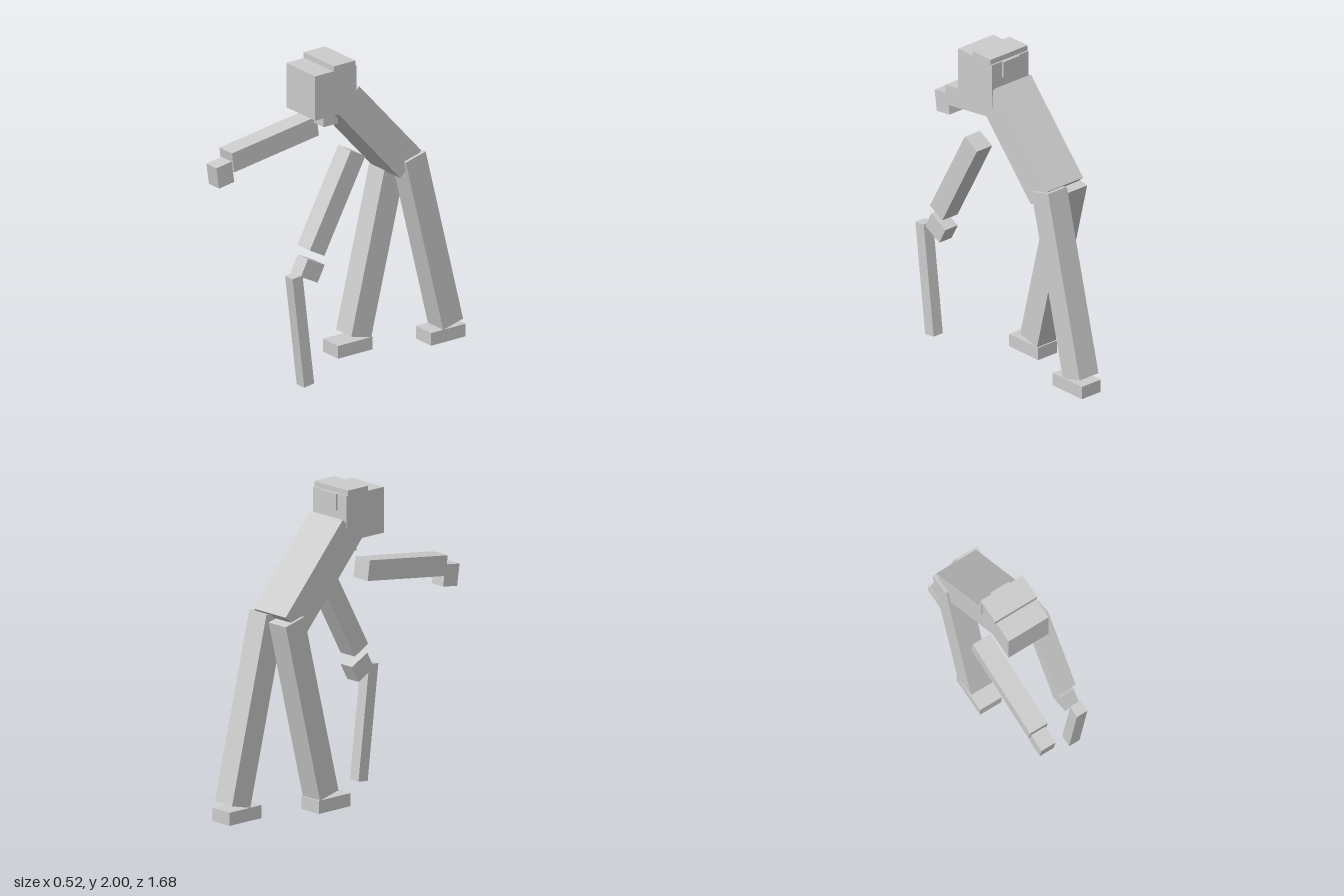
import * as THREE from 'three';

export function createModel() {
  const model = new THREE.Group();
  const grey = new THREE.MeshStandardMaterial({ color: 0xcccccc });
  grey.name = 'lightGrey';

  // Box from x0 to x1, centred at (y, z); up = [z, y] is the lean of its vertical axis
  function block(name, x0, x1, y, z, height, depth, up = [0, 1], parent = model) {
    const mesh = new THREE.Mesh(new THREE.BoxGeometry(x1 - x0, height, depth), grey);
    mesh.name = name;
    mesh.position.set((x0 + x1) / 2, y, z);
    mesh.rotation.x = Math.atan2(up[0], up[1]);
    parent.add(mesh);
    return mesh;
  }

  // Stooped torso and neck
  block('torso', -0.146, 0.14, 1.482, -0.195, 0.712, 0.216, [0.475, 0.53]);
  block('neck', -0.05, 0.046, 1.63, 0.11, 0.12, 0.11);

  // Head with a raised cap, back panel and small buckle
  const head = new THREE.Group();
  head.name = 'head';
  model.add(head);
  block('skull', -0.146, 0.144, 1.82, 0.15, 0.29, 0.31, [0, 1], head);
  block('cap', -0.154, 0.15, 1.982, 0.083, 0.036, 0.165, [0, 1], head);
  block('backPanel', -0.152, 0.148, 1.863, -0.001, 0.206, 0.018, [0, 1], head);
  block('buckle', -0.07, 0.066, 1.913, -0.014, 0.104, 0.016, [0, 1], head);

  // Striding legs and feet
  block('rightLeg', -0.165, -0.01, 0.678, -0.31, 1.187, 0.158, [-0.24, 0.97]);
  block('rightFoot', -0.165, -0.01, 0.042, -0.122, 0.083, 0.265);
  block('leftLeg', 0.005, 0.16, 0.683, -0.6, 1.197, 0.157, [0.24, 0.97]);
  block('leftFoot', 0.005, 0.16, 0.042, -0.707, 0.083, 0.265);

  // Right arm reaching forward
  block('rightArm', -0.262, -0.135, 1.456, 0.397, 0.129, 0.656, [0.09, 0.65]);
  block('rightHand', -0.25, -0.148, 1.339, 0.772, 0.139, 0.118, [0.02, 0.138]);

  // Left arm hanging down to the cane
  block('leftArm', 0.132, 0.259, 1.15, 0.22, 0.66, 0.127, [-0.315, 0.58]);
  block('leftHand', 0.143, 0.245, 0.745, 0.4, 0.118, 0.145, [-0.055, 0.105]);
  block('cane', 0.183, 0.259, 0.372, 0.483, 0.735, 0.077, [0.09, 0.735]);

  return model;
}
